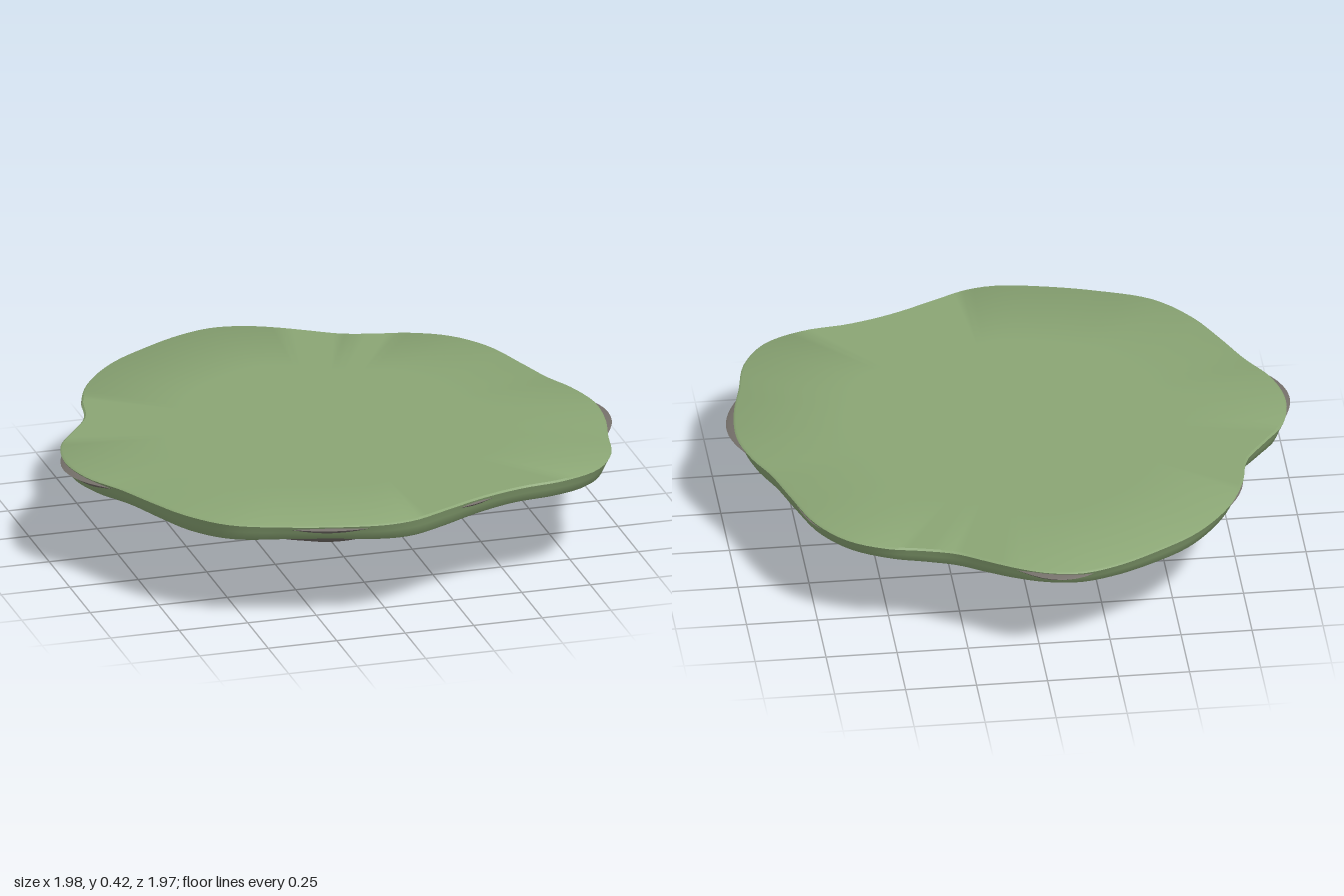
import * as THREE from 'three';
import { toCreasedNormals } from 'three/addons/utils/BufferGeometryUtils.js';

const SEGMENTS = 160;
const CENTRE_Z = 0.05;

// Wavy plan outline of the island, as x, z pairs
const OUTLINE = [
  0.965, 0.08, 0.955, 0.25, 0.92, 0.4, 0.88, 0.57, 0.79, 0.7, 0.65, 0.765, 0.49, 0.79,
  0.33, 0.84, 0.17, 0.915, 0.05, 0.97, -0.06, 0.985, -0.22, 0.96, -0.4, 0.91, -0.59, 0.83,
  -0.71, 0.7, -0.79, 0.55, -0.86, 0.4, -0.94, 0.26, -0.972, 0.1, -0.94, -0.06, -0.865, -0.17,
  -0.79, -0.28, -0.755, -0.43, -0.69, -0.58, -0.56, -0.74, -0.41, -0.845, -0.25, -0.93,
  -0.12, -0.964, 0, -0.945, 0.1, -0.9, 0.2, -0.84, 0.3, -0.78, 0.42, -0.745, 0.53, -0.72,
  0.66, -0.65, 0.76, -0.52, 0.83, -0.32, 0.875, -0.18, 0.93, -0.06,
];

// Places where the rock bulges out past the turf: angle, amount, angular width (degrees)
const BULGES = [
  [8, 0.06, 13], [172, 0.055, 13], [-92, 0.055, 9], [106, 0.042, 12],
  [69, 0.038, 8], [-33, 0.032, 12], [-145, 0.034, 12],
];

function plan() {
  const points = [];
  for (let i = 0; i < OUTLINE.length; i += 2) {
    points.push(new THREE.Vector3(OUTLINE[i], 0, OUTLINE[i + 1] - CENTRE_Z));
  }
  return new THREE.CatmullRomCurve3(points, true).getSpacedPoints(SEGMENTS).slice(0, SEGMENTS);
}

function bulge(p) {
  const angle = THREE.MathUtils.radToDeg(Math.atan2(p.z, p.x));
  let scale = 0.968;
  for (const [at, amount, width] of BULGES) {
    const d = THREE.MathUtils.euclideanModulo(angle - at + 180, 360) - 180;
    scale += amount * Math.exp(-((d / width) ** 2));
  }
  return scale;
}

// Skin closed rings; profile entries are [scale, height, wave of the height]
function loft(outline, profile, crease) {
  const positions = [];
  const index = [];
  for (const [scale, y, wave = 0] of profile) {
    outline.forEach((p, j) => {
      const a = (j / SEGMENTS) * Math.PI * 2;
      const ripple = wave * (Math.sin(a * 7 + 1) + 0.5 * Math.sin(a * 4));
      positions.push(p.x * scale, y + ripple, p.z * scale + CENTRE_Z);
    });
  }
  for (let i = 0; i < profile.length - 1; i++) {
    for (let j = 0; j < SEGMENTS; j++) {
      const k = (j + 1) % SEGMENTS;
      const a = i * SEGMENTS + j, b = a + SEGMENTS;
      const c = i * SEGMENTS + k, d = c + SEGMENTS;
      if (profile[i][0] > 0) index.push(a, b, c);
      if (profile[i + 1][0] > 0) index.push(c, b, d);
    }
  }
  const geometry = new THREE.BufferGeometry();
  geometry.setAttribute('position', new THREE.Float32BufferAttribute(positions, 3));
  geometry.setIndex(index);
  return toCreasedNormals(geometry, crease);
}

export function createModel() {
  const group = new THREE.Group();
  group.name = 'floatingIsland';
  const turfOutline = plan();
  const rockOutline = turfOutline.map((p) => p.clone().multiplyScalar(bulge(p)));

  // Pointed rock underside, closed by a flat top under the turf
  const rock = new THREE.Mesh(
    loft(rockOutline, [
      [0, 0], [0.1, 0.032], [0.2, 0.062], [0.3, 0.095], [0.42, 0.138], [0.55, 0.19],
      [0.68, 0.245], [0.8, 0.298], [0.9, 0.342], [0.96, 0.371], [1, 0.397], [0.985, 0.404], [0, 0.404],
    ], 0.6),
    new THREE.MeshStandardMaterial({ color: 0x75706a }),
  );
  rock.name = 'rockBase';

  // Turf slab with a drooping, wavy lower edge
  const turf = new THREE.Mesh(
    loft(turfOutline, [
      [0.85, 0.35], [0.955, 0.341, 0.006], [0.972, 0.352, 0.005], [0.985, 0.38, 0.002],
      [1, 0.408], [0.992, 0.414], [0.6, 0.416], [0, 0.417],
    ], 0.7),
    new THREE.MeshStandardMaterial({ color: 0x8aa574 }),
  );
  turf.name = 'grassTop';

  group.add(rock, turf);
  return group;
}
